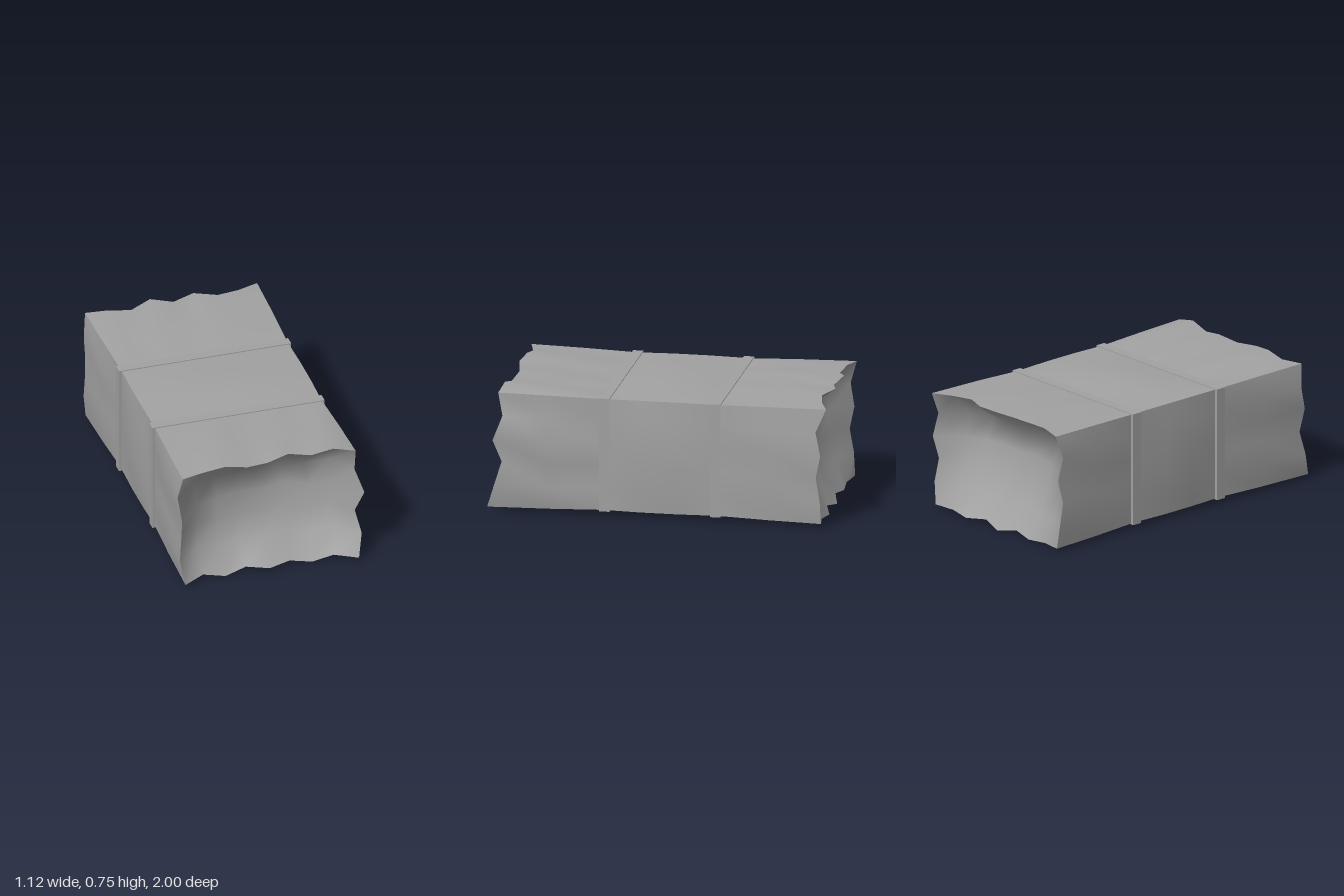
import * as THREE from 'three';

const X0 = -0.535, X1 = 0.515, Y0 = 0.025, Y1 = 0.715;
const lerp = THREE.MathUtils.lerp;

// Crumpled rims: for each side, outward puff and z along the edge
// (bottom and top run left to right on the sheet, the sides run upward)
const rims = {
  front: {
    bottom: { out: [0, 0, .022, 0, .005, 0, .02, 0, 0], z: [.99, .91, .93, .9, .95, .91, .93, .925, 1] },
    right: { out: [0, .03, 0, .045, 0, 0], z: [1, .955, .915, .96, .91, .935] },
    top: { out: [0, 0, .022, .008, 0, .022, 0, .03, 0], z: [.94, .905, .915, .935, .91, .885, .905, .92, .935] },
    left: { out: [0, .022, .003, .01, .025, 0], z: [.99, .95, .92, .955, .915, .94] },
  },
  back: {
    bottom: { out: [0, .005, .015, 0, .025, 0, .015, .005, 0], z: [-.97, -.945, -.955, -.93, -.965, -.93, -.97, -.95, -.97] },
    right: { out: [0, .015, .005, .025, .01, 0], z: [-.97, -.965, -.94, -.97, -.94, -1] },
    top: { out: [0, .011, 0, .022, 0, .015, .011, .005, 0], z: [-.98, -.95, -.93, -.98, -.945, -.98, -.925, -.95, -1] },
    left: { out: [0, .015, .015, .005, .02, 0], z: [-.97, -.96, -.935, -.965, -.94, -.98] },
  },
};

// Rings from back to front: z (rim rings follow the crumple), inset, puff share, bulge
const rings = [
  { end: 'back', rim: true, inset: 0, puff: 1, bulge: 0 },
  { end: 'back', z: -.66, inset: .007, puff: .8, bulge: .008 },
  { end: 'back', z: -.37, inset: .018, puff: 0, bulge: 0 },
  { end: 'back', z: -.32, inset: .018, puff: 0, bulge: 0 },
  { end: 'back', z: -.11, inset: .014, puff: .1, bulge: .02 },
  { end: 'front', z: .1, inset: .014, puff: .1, bulge: .02 },
  { end: 'front', z: .285, inset: .018, puff: 0, bulge: 0 },
  { end: 'front', z: .335, inset: .018, puff: 0, bulge: 0 },
  { end: 'front', z: .64, inset: .007, puff: .8, bulge: .008 },
  { end: 'front', rim: true, inset: 0, puff: 1, bulge: 0 },
];

function ringPoint(ring, side, i) {
  const { out, z } = rims[ring.end][side];
  const t = i / (out.length - 1), s = ring.inset;
  const o = out[i] * ring.puff + ring.bulge * Math.sin(Math.PI * t);
  const x = lerp(X0 + s, X1 - s, t), y = lerp(Y0 + s * .6, Y1 - s * .6, t);
  const zz = ring.rim ? z[i] : ring.z;
  if (side === 'bottom') return new THREE.Vector3(x, Y0 + s * .6 - o, zz);
  if (side === 'top') return new THREE.Vector3(x, Y1 - s * .6 + o, zz);
  if (side === 'right') return new THREE.Vector3(X1 - s + o, y, zz);
  return new THREE.Vector3(X0 + s - o, y, zz);
}

// Smooth sheet over an nu x nv grid, facing du x dv
function sheet(nu, nv, point) {
  const pos = [], index = [];
  for (let j = 0; j <= nv; j++)
    for (let i = 0; i <= nu; i++) pos.push(...point(i, j).toArray());
  for (let j = 0; j < nv; j++)
    for (let i = 0; i < nu; i++) {
      const a = j * (nu + 1) + i, b = a + 1, c = a + nu + 1, d = c + 1;
      index.push(a, b, d, a, d, c);
    }
  const g = new THREE.BufferGeometry();
  g.setAttribute('position', new THREE.Float32BufferAttribute(pos, 3));
  g.setIndex(index);
  g.computeVertexNormals();
  return g;
}

// Sunken end: blend of the four rim edges, pushed inward with a soft fold
const foldDepth = [0, .085, .115, .18, .15, 0];
function endPoint(end, i, j) {
  const ring = end === 'front' ? rings[rings.length - 1] : rings[0];
  const u = i / 8, v = j / 5;
  const p = (side, k) => ringPoint(ring, side, k);
  const point = new THREE.Vector3()
    .addScaledVector(p('bottom', i), 1 - v).addScaledVector(p('top', i), v)
    .addScaledVector(p('left', j), 1 - u).addScaledVector(p('right', j), u)
    .addScaledVector(p('bottom', 0), -(1 - u) * (1 - v)).addScaledVector(p('bottom', 8), -u * (1 - v))
    .addScaledVector(p('top', 0), -(1 - u) * v).addScaledVector(p('top', 8), -u * v);
  const depth = foldDepth[j] * Math.pow(Math.max(0, Math.sin(Math.PI * u)), .6);
  point.z -= (end === 'front' ? 1 : -1) * depth;
  return point;
}

export function createModel() {
  const group = new THREE.Group();
  group.name = 'strappedBundle';
  const grey = new THREE.MeshStandardMaterial({ color: 0xa2a2a2, side: THREE.DoubleSide });
  grey.name = 'grey';
  const add = (name, geometry) => {
    const mesh = new THREE.Mesh(geometry, grey);
    mesh.name = name;
    group.add(mesh);
    return mesh;
  };

  // Four wrapper sides, sharp where they meet
  for (const side of ['bottom', 'right', 'top', 'left']) {
    const n = rims.front[side].out.length - 1;
    const reversed = side === 'top' || side === 'left';
    add(side + 'Wrapper', sheet(n, rings.length - 1,
      (i, j) => ringPoint(rings[j], side, reversed ? n - i : i)));
  }

  // Sunken ends
  add('frontEnd', sheet(8, 5, (i, j) => endPoint('front', i, j)));
  add('backEnd', sheet(8, 5, (i, j) => endPoint('back', 8 - i, j)));

  // Straps around the bundle
  for (const [name, z] of [['frontStrap', .31], ['backStrap', -.345]])
    add(name, new THREE.BoxGeometry(1.045, .68, .06)).position.set(-.0125, .37, z);

  return group;
}
